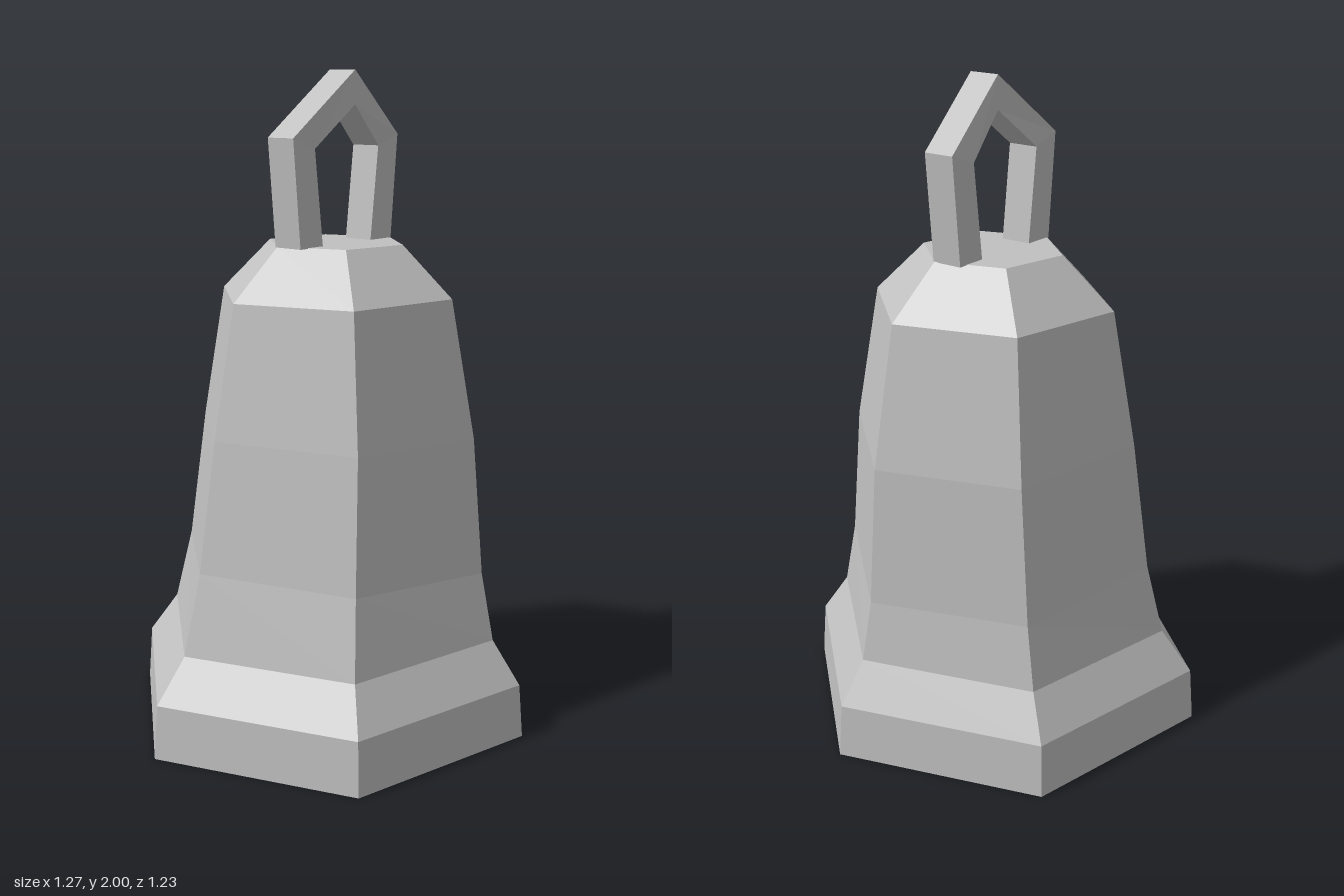
import * as THREE from 'three';

// Skins a row of equal-sided rings of Vector3; normal = along the row x around the ring
function loft(rings) {
  const pos = [];
  const tri = (...pts) => pts.forEach((p) => pos.push(p.x, p.y, p.z));
  for (let i = 0; i < rings.length - 1; i++) {
    const a = rings[i], b = rings[i + 1], n = a.length;
    for (let k = 0; k < n; k++) {
      const m = (k + 1) % n;
      if (!b[k].equals(b[m])) tri(a[k], b[k], b[m]);
      if (!a[k].equals(a[m])) tri(a[k], b[m], a[m]);
    }
  }
  const geo = new THREE.BufferGeometry();
  geo.setAttribute('position', new THREE.Float32BufferAttribute(pos, 3));
  geo.computeVertexNormals();
  return geo;
}

// Six-sided ring, slightly turned; tilt lowers the +x side
function hexRing([radius, y, cx, tilt = 0]) {
  return Array.from({ length: 6 }, (_, k) => {
    const a = (11.7 + 60 * k) * Math.PI / 180;
    const x = Math.cos(a) * radius;
    return new THREE.Vector3(cx + x, y + tilt * x, Math.sin(a) * radius);
  });
}

export function createModel() {
  const group = new THREE.Group();
  const metal = new THREE.MeshStandardMaterial({ color: 0xc0c0c0, flatShading: true });
  metal.name = 'grey metal';
  const add = (name, geo) => {
    const mesh = new THREE.Mesh(geo, metal);
    mesh.name = name;
    group.add(mesh);
    return mesh;
  };

  // Bell shell: radius, height, centre x, tilt, from the rim up to the crown
  const outer = [
    [0.648, 0, 0],
    [0.635, 0.165, 0],
    [0.543, 0.295, 0.008],
    [0.495, 0.51, 0.022, -0.06],
    [0.45, 0.92, 0.04, -0.03],
    [0.375, 1.335, 0.038],
    [0.217, 1.49, 0.04],
  ];
  const inner = outer.map(([r, y, cx, t]) => [r - 0.06, y > 1.4 ? y - 0.06 : y, cx, t]).reverse();
  const profile = [[0, 1.43, 0.04], ...inner, ...outer, [0, 1.49, 0.04]];
  add('bellShell', loft(profile.map(hexRing)));

  // Handle: outer x, y, inner x, y, centre z of each joint
  const joints = [
    [-0.175, 1.488, -0.075, 1.488, 0],
    [-0.205, 1.808, -0.11, 1.775, 0],
    [0.04, 2, 0.04, 1.9, 0.027],
    [0.28, 1.808, 0.185, 1.775, 0],
    [0.25, 1.488, 0.15, 1.488, 0],
  ];
  const sections = joints.map(([ox, oy, ix, iy, z]) => [
    new THREE.Vector3(ox, oy, z + 0.049),
    new THREE.Vector3(ox, oy, z - 0.049),
    new THREE.Vector3(ix, iy, z - 0.049),
    new THREE.Vector3(ix, iy, z + 0.049),
  ]);
  add('handle', loft(sections));

  // Flat clapper hanging inside
  add('clapper', new THREE.BoxGeometry(0.2, 1.37, 0.04)).position.set(0.04, 0.755, 0);

  return group;
}
